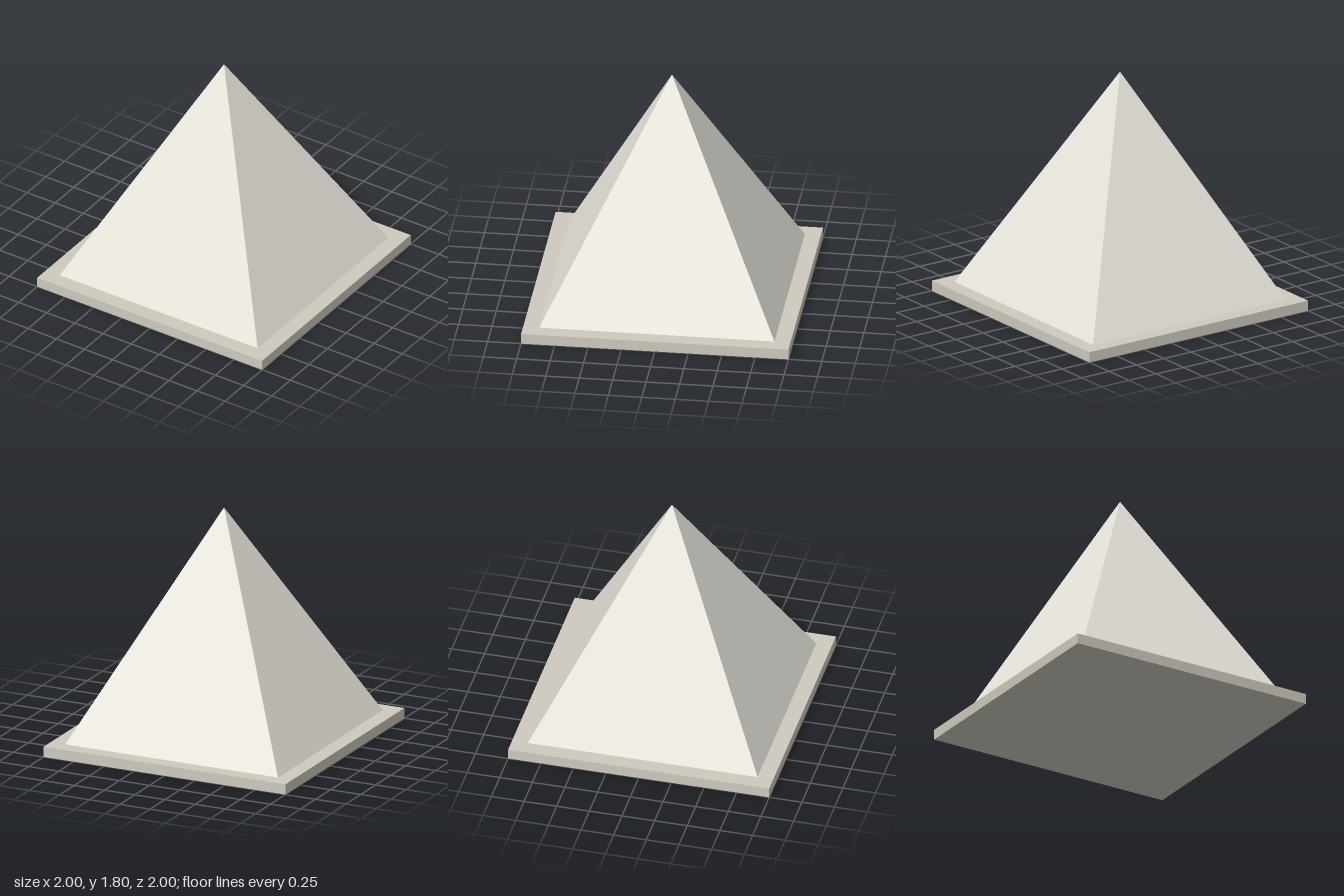
import * as THREE from 'three';

const BASE_HEIGHT = 0.08;
const PYRAMID_HALF_WIDTH = 0.88;
const PYRAMID_HEIGHT = 1.72;

export function createModel() {
  const model = new THREE.Group();
  model.name = 'pyramidOnBase';

  // Square base slab
  const base = new THREE.Mesh(
    new THREE.BoxGeometry(2, BASE_HEIGHT, 2),
    new THREE.MeshStandardMaterial({ color: 0xcfcabe })
  );
  base.name = 'baseSlab';
  base.position.y = BASE_HEIGHT / 2;

  // Four-sided pyramid, turned so its sides run parallel to the slab
  const pyramidGeometry = new THREE.ConeGeometry(PYRAMID_HALF_WIDTH * Math.SQRT2, PYRAMID_HEIGHT, 4, 1);
  pyramidGeometry.rotateY(Math.PI / 4);
  const pyramid = new THREE.Mesh(
    pyramidGeometry,
    new THREE.MeshStandardMaterial({ color: 0xe8e5dd, flatShading: true })
  );
  pyramid.name = 'pyramid';
  pyramid.position.y = BASE_HEIGHT + PYRAMID_HEIGHT / 2;

  model.add(base, pyramid);
  return model;
}
